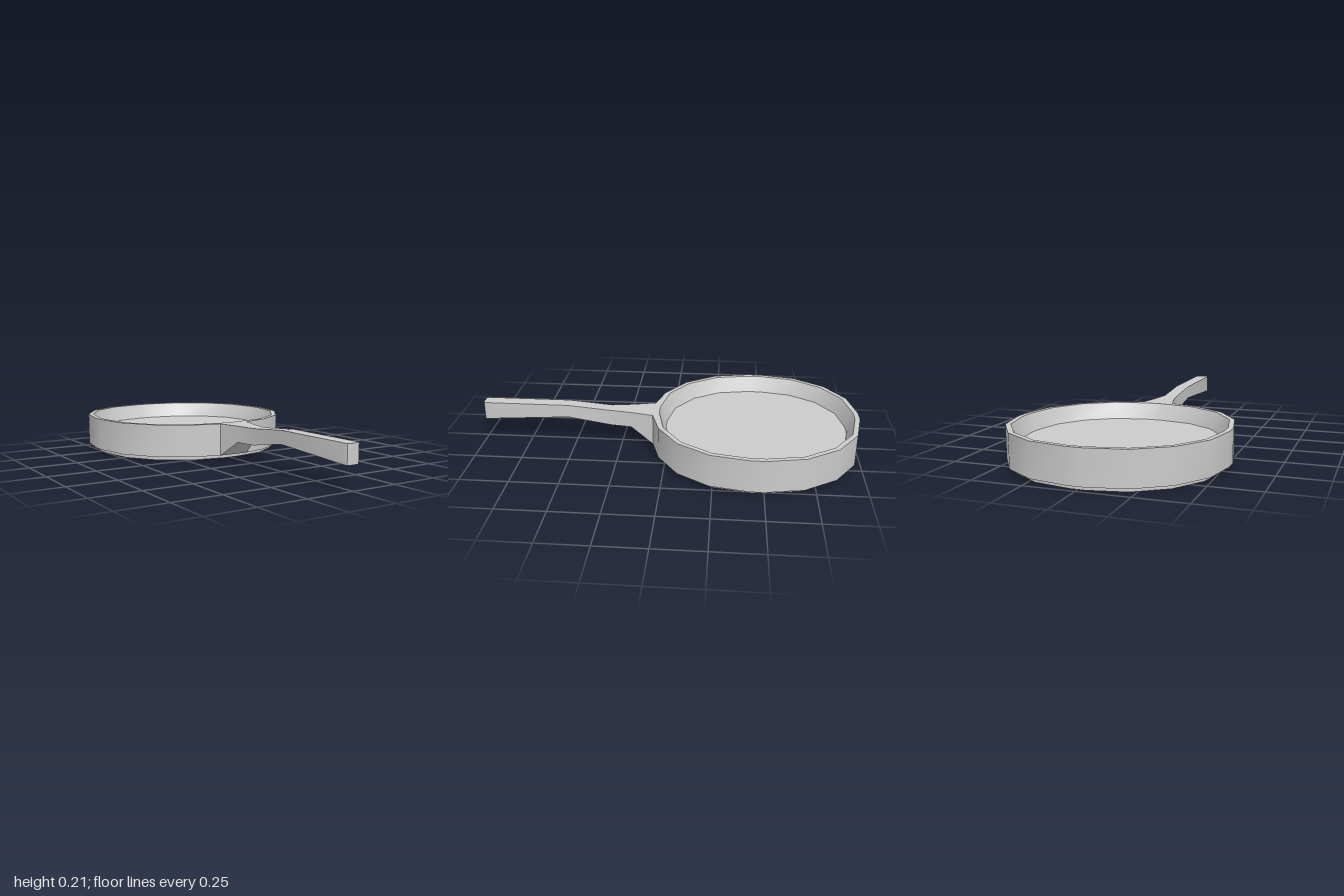
import * as THREE from 'three';
import { toCreasedNormals } from 'three/addons/utils/BufferGeometryUtils.js';

const CENTER_Z = -0.465; // middle of the pan
const FLAT = 0.038;      // half length of the short flats between the rounded quarters
const OUTER = 0.537;
const ROOT = { x: 0.082, z: 0.077 }; // where the handle meets the wall

// Skin a row of equal-length rings, optionally closing either end
function loft(rings, capStart, capEnd) {
  const n = rings[0].length;
  const last = (rings.length - 1) * n;
  const index = [];
  for (let r = 0; r < rings.length - 1; r++) {
    for (let i = 0; i < n; i++) {
      const j = (i + 1) % n;
      const a = r * n + i, b = r * n + j, c = b + n, d = a + n;
      index.push(a, b, c, a, c, d);
    }
  }
  for (let i = 1; i < n - 1; i++) {
    if (capStart) index.push(0, i + 1, i);
    if (capEnd) index.push(last, last + i, last + i + 1);
  }
  const geometry = new THREE.BufferGeometry();
  geometry.setAttribute('position', new THREE.Float32BufferAttribute(rings.flat(2), 3));
  geometry.setIndex(index);
  return toCreasedNormals(geometry, 0.55);
}

// Horizontal ring: four faceted quarter circles joined by short flats
function panRing(half, y) {
  const ring = [];
  const radius = half - FLAT;
  for (let q = 0; q < 4; q++) {
    const sx = q === 0 || q === 3 ? 1 : -1;
    const sz = q < 2 ? 1 : -1;
    for (let k = 0; k <= 4; k++) {
      const a = (q + k / 4) * Math.PI / 2;
      let x = sx * FLAT + radius * Math.cos(a);
      let z = CENTER_Z - sz * FLAT - radius * Math.sin(a);
      // widen the front flat of the outer wall to take the handle
      const isFront = (q === 2 && k === 4) || (q === 3 && k === 0);
      if (half === OUTER && isFront) { x = sx * ROOT.x; z = ROOT.z; }
      ring.push([x, y, z]);
    }
  }
  return ring;
}

export function createModel() {
  const model = new THREE.Group();
  model.name = 'fryingPan';
  const material = new THREE.MeshStandardMaterial({ color: 0xcccccc });
  const add = (name, geometry) => {
    const mesh = new THREE.Mesh(geometry, material);
    mesh.name = name;
    model.add(mesh);
  };

  // Pan: foot, underside step, outer wall, rim, sloped inner wall, floor
  const profile = [
    [0.507, 0], [0.507, 0.022], [OUTER, 0.022],
    [OUTER, 0.19], [0.511, 0.19], [0.475, 0.107],
  ];
  add('pan', loft(profile.map(([half, y]) => panRing(half, y)), true, true));

  // Handle stations: z, half width, bottom, top
  const stations = [
    [ROOT.z, ROOT.x, 0.022, 0.19],
    [0.195, 0.054, 0.105, 0.19],
    [0.31, 0.036, 0.105, 0.19],
    [0.54, 0.036, 0.142, 0.21],
    [0.988, 0.036, 0.115, 0.21],
    [0.996, 0.033, 0.115, 0.21],
    [1, 0.027, 0.115, 0.21],
  ];
  const handleRings = stations.map(([z, w, lo, hi]) => [
    [w, lo, z], [w, hi, z], [-w, hi, z], [-w, lo, z],
  ]);
  add('handle', loft(handleRings, false, true));

  return model;
}
